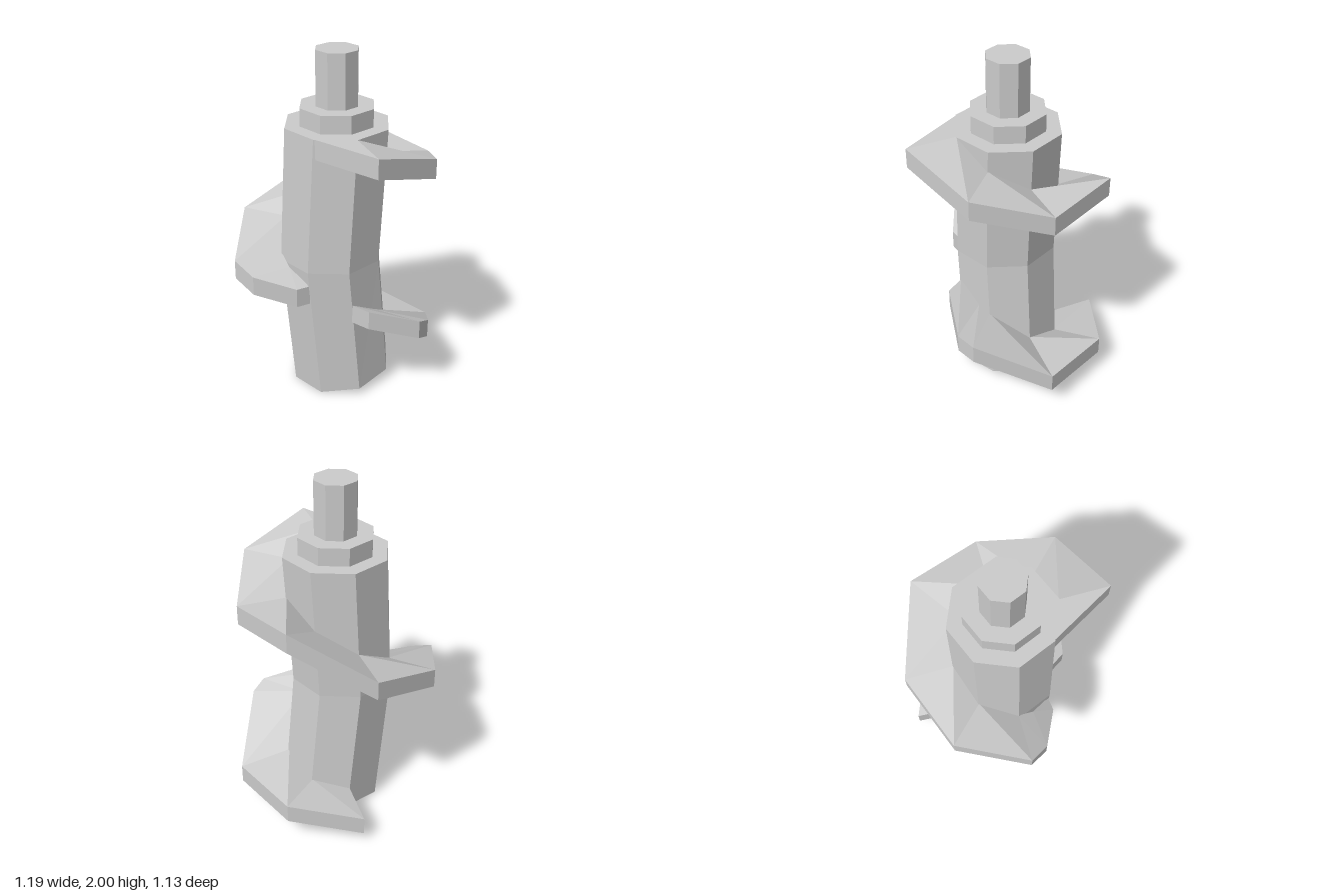
import * as THREE from 'three';

const material = new THREE.MeshStandardMaterial({ color: 0xcccccc, flatShading: true });
const THICKNESS = 0.11;
const CORE_RADIUS = 0.295;
const CORE_TOP = 1.6, CORE_MID = 0.83, CORE_LOW = 0.042;

// Sideways bend of the core's centre line
function bend(y) {
  if (y > CORE_MID) return -0.04 * (CORE_TOP - y) / (CORE_TOP - CORE_MID);
  return -0.04 + 0.07 * (CORE_MID - y) / (CORE_MID - CORE_LOW);
}

function addMesh(parent, name, geometry) {
  const mesh = new THREE.Mesh(geometry, material);
  mesh.name = name;
  parent.add(mesh);
  return mesh;
}

// Eight-sided core, bent in the middle, with a tilted foot
function coreGeometry() {
  const g = new THREE.CylinderGeometry(CORE_RADIUS, CORE_RADIUS, 2, 8, 2);
  const p = g.attributes.position;
  for (let i = 0; i < p.count; i++) {
    const level = p.getY(i);
    const x = p.getX(i);
    let y = level > 0.5 ? CORE_TOP : level > -0.5 ? CORE_MID : CORE_LOW;
    p.setX(i, x + bend(y));
    if (level < -0.5) y += 0.14 * x;
    p.setY(i, y);
  }
  g.computeVertexNormals();
  return g;
}

// Spiral blade: each row is [outer x, outer z, outer top y, inner angle in eighths, inner top y]
function bladeGeometry(rows) {
  const sections = rows.map(([ox, oz, oy, eighth, iy]) => {
    const a = eighth * Math.PI / 4;
    const r = CORE_RADIUS - 0.005;
    const ix = bend(iy) + r * Math.sin(a), iz = r * Math.cos(a);
    return [
      [ox, oy, oz], [ix, iy, iz],
      [ix, iy - THICKNESS, iz], [ox, oy - THICKNESS, oz],
    ];
  });
  const verts = [];
  const quad = (a, b, c, d) => verts.push(...a, ...b, ...c, ...b, ...d, ...c);
  for (let i = 0; i < sections.length - 1; i++) {
    const s = sections[i], t = sections[i + 1];
    for (let k = 0; k < 4; k++) {
      const n = (k + 1) % 4;
      quad(s[k], t[k], s[n], t[n]);
    }
  }
  // End faces
  const s = sections[0], e = sections[sections.length - 1];
  quad(s[0], s[1], s[3], s[2]);
  quad(e[0], e[3], e[1], e[2]);
  const g = new THREE.BufferGeometry();
  g.setAttribute('position', new THREE.Float32BufferAttribute(verts, 3));
  g.computeVertexNormals();
  return g;
}

export function createModel() {
  const model = new THREE.Group();
  model.name = 'augerDrill';

  addMesh(model, 'core', coreGeometry());
  addMesh(model, 'collar', new THREE.CylinderGeometry(0.21, 0.21, 0.1, 8)).position.y = 1.65;
  addMesh(model, 'shaft', new THREE.CylinderGeometry(0.12, 0.12, 0.3, 8)).position.y = 1.85;

  // Upper blade, ending in a broken edge
  addMesh(model, 'upperBlade', bladeGeometry([
    [0, 0.565, 1.6, -1, 1.6],
    [0, 0.565, 1.6, 0, 1.6],
    [0.4, 0.4, 1.48, 1, 1.48],
    [0.55, 0, 1.36, 2, 1.36],
    [0.4, -0.4, 1.39, 3, 1.25],
    [-0.03, -0.565, 1.11, 4, 1.11],
    [-0.43, -0.4, 0.99, 5, 0.99],
    [-0.6, 0, 0.87, 6, 0.87],
    [-0.53, 0.11, 0.81, 6.4, 0.82],
    [-0.315, 0.215, 0.745, 7, 0.745],
  ]));

  // Lower blade, starting from a broken edge
  addMesh(model, 'lowerBlade', bladeGeometry([
    [0.04, 0.39, 0.625, 0, 0.625],
    [0.32, 0.455, 0.54, 0.7, 0.54],
    [0.4, 0.4, 0.5, 1, 0.5],
    [0.59, 0, 0.27, 2, 0.32],
    [0.43, -0.4, 0.255, 3, 0.23],
    [0.03, -0.565, 0.18, 4, 0.175],
  ]));

  return model;
}
